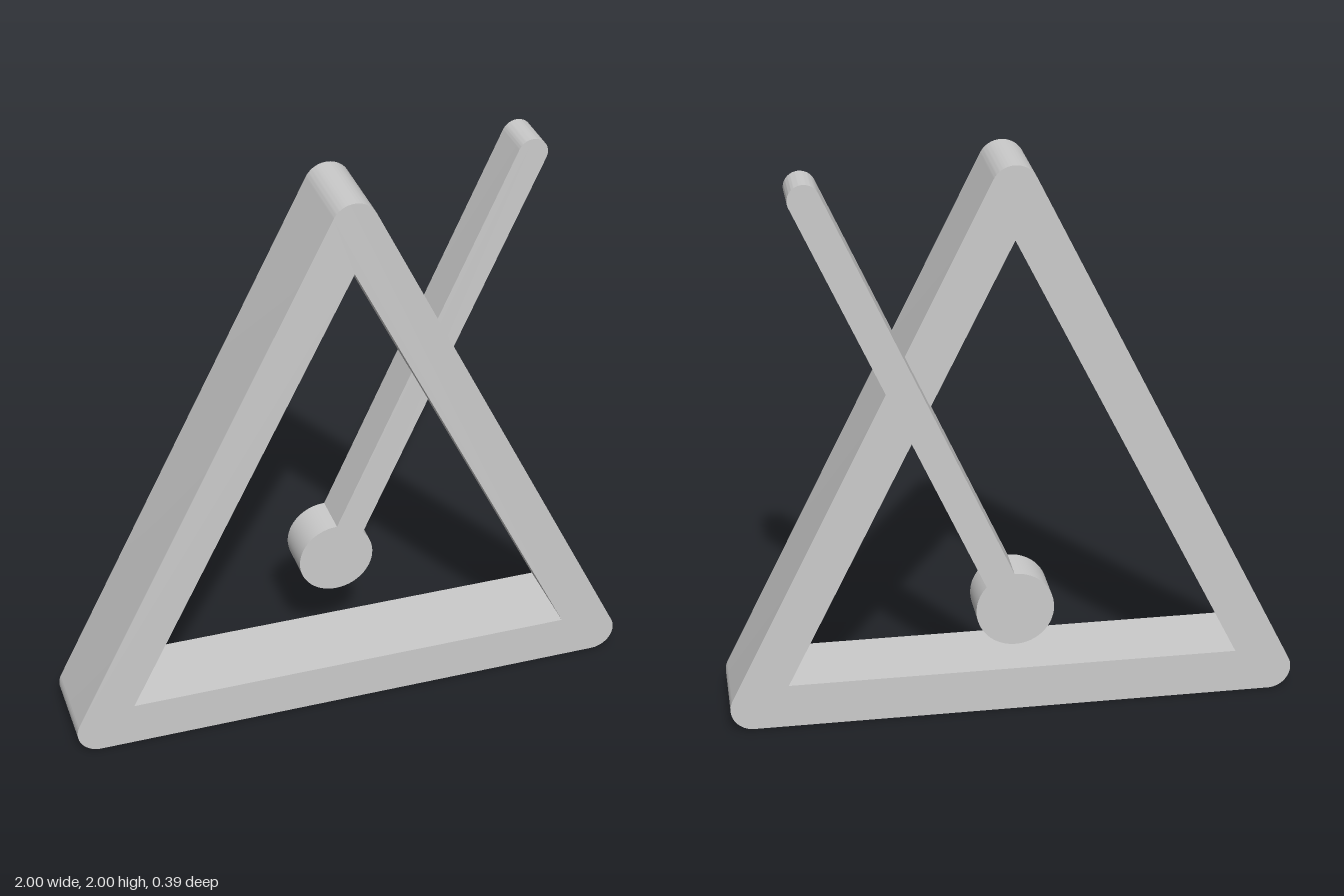
import * as THREE from 'three';
import { toCreasedNormals } from 'three/addons/utils/BufferGeometryUtils.js';

const material = new THREE.MeshStandardMaterial({ color: 0xcccccc });

// Extrude a flat outline from zBack to zFront, smooth on the round ends only
function slab(name, shape, zBack, zFront) {
  const extruded = new THREE.ExtrudeGeometry(shape, {
    depth: zFront - zBack, bevelEnabled: false, curveSegments: 24,
  });
  const mesh = new THREE.Mesh(toCreasedNormals(extruded, 0.6), material);
  mesh.name = name;
  mesh.position.z = zBack;
  return mesh;
}

export function createModel() {
  const group = new THREE.Group();
  group.name = 'triangleAndBeater';

  // Triangular frame: rounded outer corners, sharp inner opening
  const r = 0.08;
  const slope = Math.atan2(1, 2); // direction of the right side's outward normal
  const outline = new THREE.Shape();
  outline.absarc(0.92, r, r, -Math.PI / 2, slope, false);
  outline.absarc(0, 2 - r, r, slope, Math.PI - slope, false);
  outline.absarc(-0.92, r, r, Math.PI - slope, Math.PI * 1.5, false);
  outline.closePath();
  const opening = [[-0.795, 0.16], [0, 1.745], [0.795, 0.16]];
  outline.holes.push(new THREE.Path(opening.map(([x, y]) => new THREE.Vector2(x, y))));
  group.add(slab('frame', outline, -0.1, 0.197));

  // Beater: round head and straight round-ended handle in one outline
  const head = new THREE.Vector2(0.015, 0.445), tip = new THREE.Vector2(0.693, 1.947);
  const headR = 0.135, handleR = 0.053;
  const neck = Math.asin(handleR / headR);
  const stick = new THREE.Shape();
  stick.absarc(0, 0, headR, Math.PI / 2 + neck, Math.PI * 2.5 - neck, false);
  stick.absarc(0, head.distanceTo(tip), handleR, 0, Math.PI, false);
  stick.closePath();
  const beater = slab('beater', stick, -0.197, -0.045);
  beater.position.x = head.x;
  beater.position.y = head.y;
  beater.rotation.z = -Math.atan2(tip.x - head.x, tip.y - head.y);
  group.add(beater);

  return group;
}
